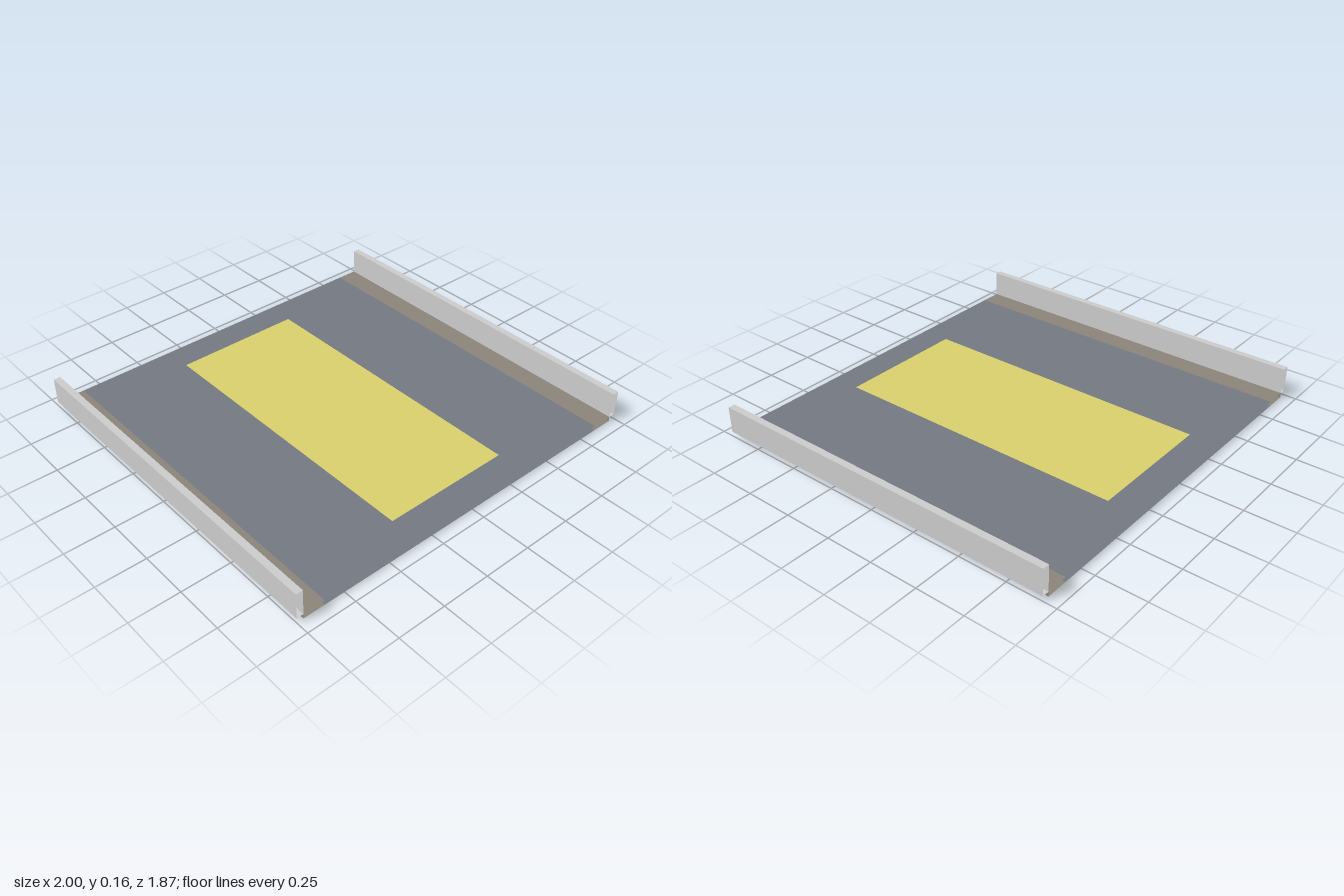
import * as THREE from 'three';

const LENGTH = 1.865;   // along z
const THICK = 0.025;    // deck thickness
const HEIGHT = 0.16;    // top of rails
const DECK = 0.855;     // half width of the plain deck
const EDGE = 0.965;     // half width of deck plus border strips

// Box shell open at both z ends; faces picks from 0:+x 1:-x 2:+y 3:-y
function openBox(name, x0, x1, y0, y1, faces, color) {
  const geometry = new THREE.BoxGeometry(x1 - x0, y1 - y0, LENGTH);
  const index = Array.from(geometry.index.array);
  geometry.setIndex(faces.flatMap((f) => index.slice(f * 6, f * 6 + 6)));
  geometry.clearGroups();
  const material = new THREE.MeshStandardMaterial({ color, side: THREE.DoubleSide });
  const mesh = new THREE.Mesh(geometry, material);
  mesh.name = name;
  mesh.position.set((x0 + x1) / 2, (y0 + y1) / 2, 0);
  return mesh;
}

export function createModel() {
  const model = new THREE.Group();
  model.name = 'flatSectionWithRails';

  // Plain deck, top and underside
  model.add(openBox('deck', -DECK, DECK, 0, THICK, [2, 3], 0x747982));

  // Border strips and side rails, mirrored
  for (const side of [1, -1]) {
    const label = side > 0 ? 'left' : 'right';
    const span = (a, b) => (side > 0 ? [a, b] : [-b, -a]);
    const outer = side > 0 ? 0 : 1;
    model.add(openBox(label + 'BorderStrip', ...span(DECK, EDGE), 0, THICK, [outer, 2, 3], 0x8a847a));
    model.add(openBox(label + 'Rail', ...span(EDGE, 1), THICK, HEIGHT, [0, 1, 2, 3], 0xcccccc));
  }

  // Yellow panel lying on the deck
  const panel = new THREE.Mesh(
    new THREE.PlaneGeometry(0.68, 1.555),
    new THREE.MeshStandardMaterial({ color: 0xd8d06c })
  );
  panel.name = 'yellowPanel';
  panel.rotation.x = -Math.PI / 2;
  panel.position.y = THICK + 0.002;
  model.add(panel);

  return model;
}
